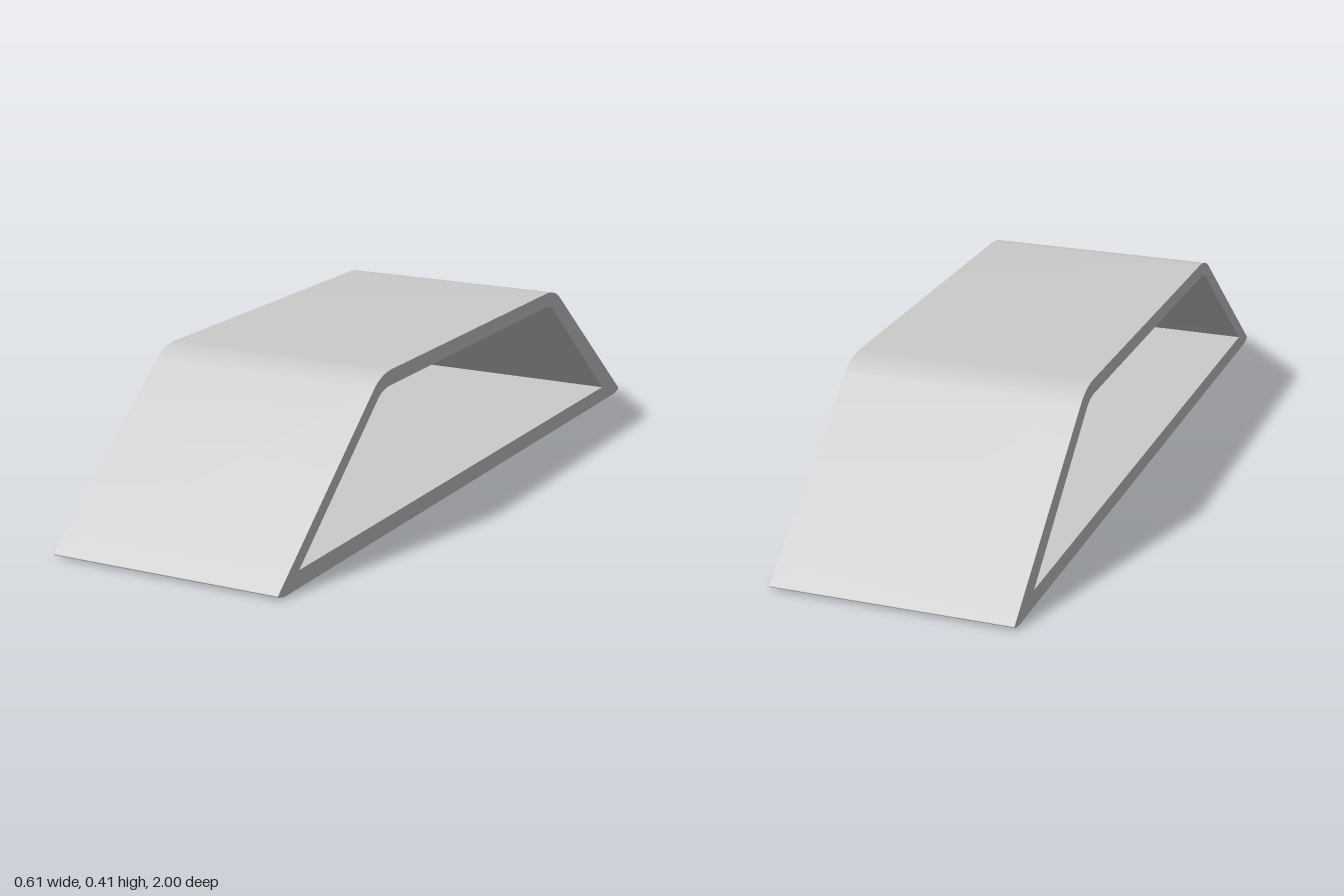
import * as THREE from 'three';
import { toCreasedNormals } from 'three/addons/utils/BufferGeometryUtils.js';

const WIDTH = 0.606;

// Trace a closed outline of [z, y, roundingIn, roundingOut] corners.
function roundedOutline(path, corners) {
  const n = corners.length;
  const toward = (a, b, d) => {
    const length = Math.hypot(b[0] - a[0], b[1] - a[1]);
    return [a[0] + (b[0] - a[0]) * d / length, a[1] + (b[1] - a[1]) * d / length];
  };
  corners.forEach((c, i) => {
    const start = toward(c, corners[(i + n - 1) % n], c[2]);
    const end = toward(c, corners[(i + 1) % n], c[3]);
    if (i === 0) path.moveTo(...start);
    else path.lineTo(...start);
    if (c[2] > 0) path.quadraticCurveTo(c[0], c[1], ...end);
  });
  path.closePath();
  return path;
}

export function createModel() {
  const group = new THREE.Group();
  group.name = 'trapezoidTunnel';

  // Outer trapezoid with rounded shoulders and softly blunted toes
  const profile = roundedOutline(new THREE.Shape(), [
    [-0.975, 0, 0.02, 0.01],
    [0.975, 0, 0.01, 0.02],
    [1.003, 0.008, 0.008, 0.008],
    [0.51, 0.405, 0.045, 0.06],
    [-0.51, 0.405, 0.06, 0.045],
    [-1.003, 0.008, 0.008, 0.008],
  ]);

  // Opening through the full width
  profile.holes.push(roundedOutline(new THREE.Path(), [
    [0.905, 0.042, 0, 0],
    [-0.872, 0.042, 0, 0],
    [-0.482, 0.367, 0.03, 0.04],
    [0.502, 0.367, 0.04, 0.03],
  ]));

  const extruded = new THREE.ExtrudeGeometry(profile, {
    depth: WIDTH, bevelEnabled: false, curveSegments: 10,
  });
  // Turn the profile into the z-y plane, extruded across x
  extruded.rotateY(-Math.PI / 2).translate(WIDTH / 2, 0, 0);

  const shell = new THREE.Mesh(
    toCreasedNormals(extruded, 0.45),
    new THREE.MeshStandardMaterial({ color: 0xcccccc }),
  );
  shell.name = 'shell';
  group.add(shell);
  return group;
}
